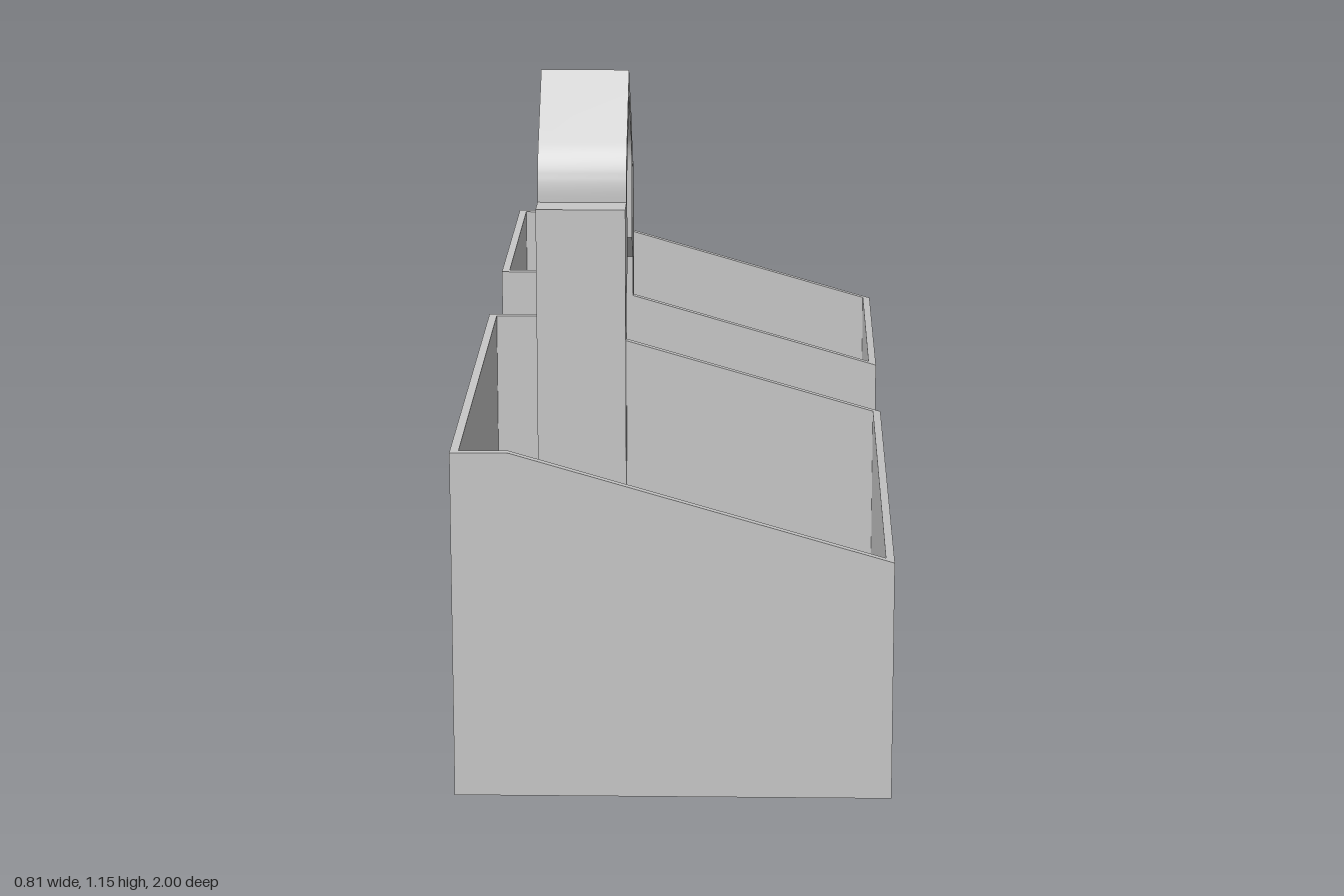
import * as THREE from 'three';
import { toCreasedNormals } from 'three/addons/utils/BufferGeometryUtils.js';

const HALF = 0.407, WALL = 0.016, FLOOR = 0.016;
const HIGH = 0.665, LOW = 0.46, BREAK = -0.3;

export function createModel() {
  const model = new THREE.Group();
  model.name = 'twinTray';
  const grey = new THREE.MeshStandardMaterial({ color: 0xc8c8c8 });
  grey.name = 'lightGrey';

  const add = (parent, name, geometry) => {
    const mesh = new THREE.Mesh(geometry, grey);
    mesh.name = name;
    parent.add(mesh);
  };

  // Wall height: level at the right, then sloping down to the left
  const height = x => x <= BREAK ? HIGH : HIGH + (LOW - HIGH) * (x - BREAK) / (HALF - BREAK);

  // Slice of the wall profile from x0 to x1, extruded from z0 to z1
  function panel(x0, x1, z0, z1) {
    const s = new THREE.Shape();
    s.moveTo(x0, 0);
    s.lineTo(x1, 0);
    s.lineTo(x1, height(x1));
    if (x0 < BREAK && x1 > BREAK) s.lineTo(BREAK, HIGH);
    s.lineTo(x0, height(x0));
    s.closePath();
    return new THREE.ExtrudeGeometry(s, { depth: z1 - z0, bevelEnabled: false }).translate(0, 0, z0);
  }

  function rectangle(path, x0, x1, y0, y1) {
    path.moveTo(x0, y0);
    path.lineTo(x1, y0);
    path.lineTo(x1, y1);
    path.lineTo(x0, y1);
    path.closePath();
    return path;
  }

  // Open bin with a slotted floor
  function bin(name, z0, z1, firstSlot, slots) {
    const g = new THREE.Group();
    g.name = name;
    model.add(g);
    add(g, 'backWall', panel(-HALF, HALF, z0, z0 + WALL));
    add(g, 'frontWall', panel(-HALF, HALF, z1 - WALL, z1));
    add(g, 'rightWall', panel(-HALF, -HALF + WALL, z0 + WALL, z1 - WALL));
    add(g, 'leftWall', panel(HALF - WALL, HALF, z0 + WALL, z1 - WALL));

    const inner = HALF - WALL;
    const floor = rectangle(new THREE.Shape(), -inner, inner, -(z1 - WALL), -(z0 + WALL));
    for (let i = 0; i < slots; i++) {
      const z = firstSlot + i * 0.0833;
      floor.holes.push(rectangle(new THREE.Path(), -0.349, 0.347, -z - 0.016, -z + 0.016));
    }
    add(g, 'slottedFloor',
      new THREE.ExtrudeGeometry(floor, { depth: FLOOR, bevelEnabled: false }).rotateX(-Math.PI / 2));
  }
  bin('frontBin', -0.024, 1, 0.064, 11);
  bin('backBin', -1, -0.395, -0.911, 6);

  // Low bridge joining the bins
  add(model, 'bridge', new THREE.BoxGeometry(0.166, 0.085, 0.371).translate(0.182, 0.0425, -0.2095));

  // Handle: two posts joined by a pointed arch, drawn as (z, y) about its middle
  const MID = -0.2095;
  const half = [[0.2405, 0], [0.2405, 0.9], [0.1715, 0.9]];
  const arc = (z, r) => {
    const pts = [];
    for (let i = 0; i <= 12; i++) {
      const a = i / 12 * Math.PI / 4;
      pts.push([z - r * (1 - Math.cos(a)), 0.912 + r * Math.sin(a)]);
    }
    return pts;
  };
  const outer = [...half, ...arc(0.1715, 0.147)];
  const inside = [[0.1855, 0], [0.1855, 0.7], [0.1335, 0.755], ...arc(0.1335, 0.11)];
  const mirror = pts => pts.map(([z, y]) => [-z, y]).reverse();
  const outline = [
    ...outer, [0, 1.146], ...mirror(outer),
    ...inside.map(([z, y]) => [-z, y]), [0, 1.092], ...inside.slice().reverse()
  ].map(([z, y]) => new THREE.Vector2(z + MID, y));
  const handle = new THREE.ExtrudeGeometry(new THREE.Shape(outline), { depth: 0.184, bevelEnabled: false })
    .rotateY(-Math.PI / 2).translate(-0.122, 0, 0);
  add(model, 'archHandle', toCreasedNormals(handle, 0.4));

  return model;
}
